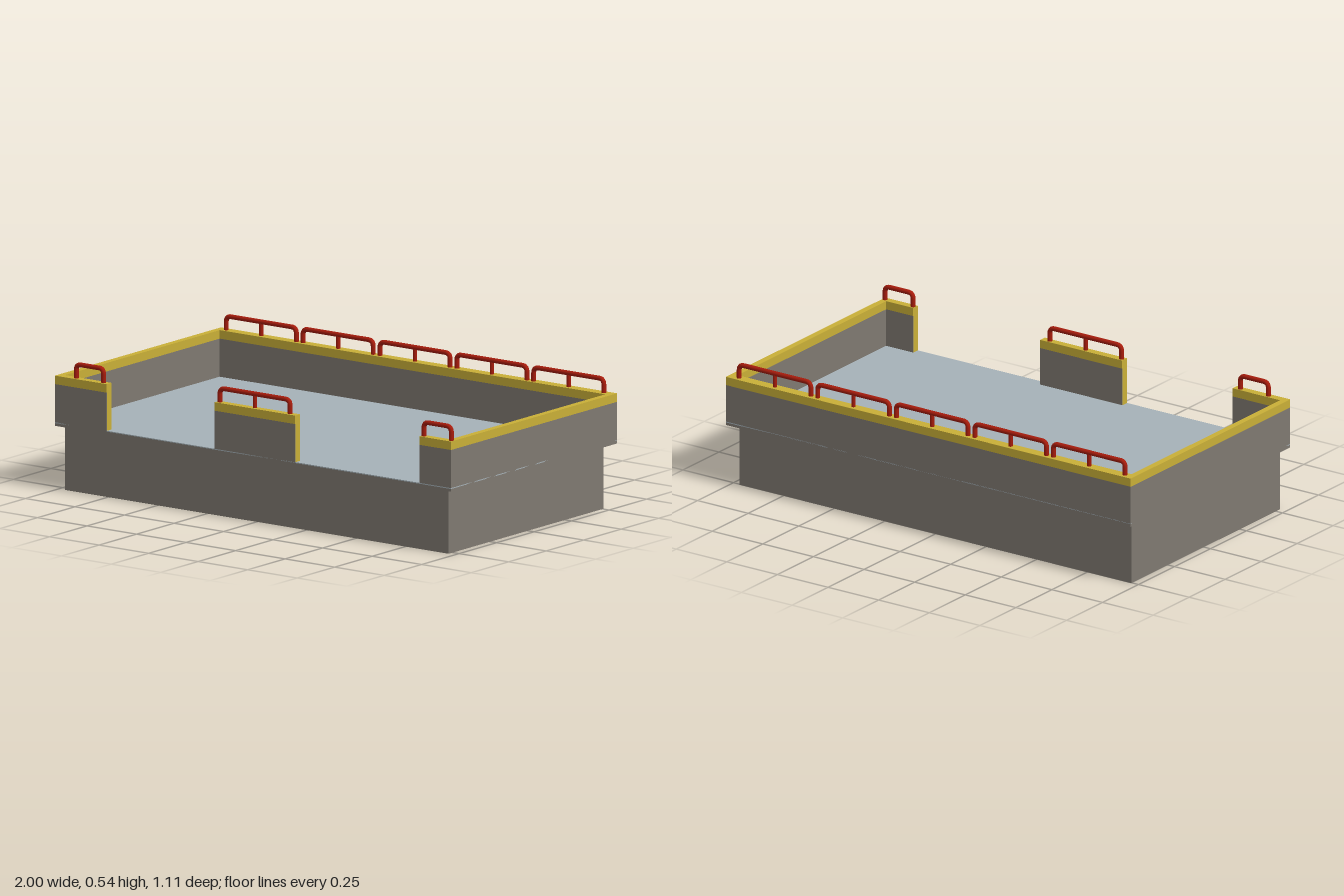
import * as THREE from 'three';

export function createModel() {
  const concrete = new THREE.MeshStandardMaterial({ color: 0x7f7971 });
  concrete.name = 'concrete';
  const yellow = new THREE.MeshStandardMaterial({ color: 0xc9af37 });
  yellow.name = 'safety yellow';
  const red = new THREE.MeshStandardMaterial({ color: 0xa81c0c });
  red.name = 'rail red';
  const deck = new THREE.MeshStandardMaterial({ color: 0xa6b2b8 });
  deck.name = 'deck grey';

  const model = new THREE.Group();
  model.name = 'loadingPlatform';

  // Box given by its minimum and maximum corners
  function box(name, material, x0, x1, y0, y1, z0, z1, parent = model) {
    const mesh = new THREE.Mesh(new THREE.BoxGeometry(x1 - x0, y1 - y0, z1 - z0), material);
    mesh.position.set((x0 + x1) / 2, (y0 + y1) / 2, (z0 + z1) / 2);
    mesh.name = name;
    parent.add(mesh);
    return mesh;
  }

  const FLOOR = 0.28, BAND = 0.437, TOP = 0.472;
  const BACK = -0.554, FRONT = 0.554, INBACK = -0.51, INFRONT = 0.522;

  // Base, overhanging slab and deck surface
  box('base', concrete, -0.968, 0.968, 0, 0.265, -0.505, 0.528);
  box('slab', concrete, -1, 1, 0.265, FLOOR - 0.004, BACK, FRONT);
  box('deck', deck, -1, 1, FLOOR - 0.004, FLOOR, BACK, FRONT);

  // Parapet wall with a yellow band along its top
  function wall(name, x0, x1, z0, z1) {
    const group = new THREE.Group();
    group.name = name;
    box('wallBody', concrete, x0, x1, FLOOR - 0.004, BAND, z0, z1, group);
    box('wallBand', yellow, x0, x1, BAND, TOP, z0, z1, group);
    model.add(group);
    return group;
  }
  // Painted end of a front wall, facing an opening
  function endPaint(group, x, side) {
    const plate = new THREE.Mesh(new THREE.PlaneGeometry(FRONT - INFRONT, TOP - FLOOR), yellow);
    plate.rotation.y = side * Math.PI / 2;
    plate.position.set(x + side * 0.001, (TOP + FLOOR) / 2, (FRONT + INFRONT) / 2);
    plate.name = 'endPaint';
    group.add(plate);
  }

  wall('backWall', -1, 1, BACK, INBACK);
  wall('rightWall', -1, -0.973, INBACK, INFRONT);
  wall('leftWall', 0.973, 1, INBACK, INFRONT);
  endPaint(wall('frontRightWall', -1, -0.738, INFRONT, FRONT), -0.738, 1);
  const middle = wall('frontMiddleWall', -0.193, 0.213, INFRONT, FRONT);
  endPaint(middle, -0.193, -1);
  endPaint(middle, 0.213, 1);
  endPaint(wall('frontLeftWall', 0.84, 1, INFRONT, FRONT), 0.84, -1);

  // Bent tube guard rail, with an optional middle post
  const R = 0.01, RAIL_Y = 0.529, FOOT_Y = 0.465, BEND = 0.024;
  function rail(name, x0, x1, z, post) {
    const a = x0 + R, b = x1 - R;
    const p = (x, y) => new THREE.Vector3(x, y, 0);
    const path = new THREE.CurvePath();
    path.add(new THREE.LineCurve3(p(a, FOOT_Y), p(a, RAIL_Y - BEND)));
    path.add(new THREE.QuadraticBezierCurve3(p(a, RAIL_Y - BEND), p(a, RAIL_Y), p(a + BEND, RAIL_Y)));
    path.add(new THREE.LineCurve3(p(a + BEND, RAIL_Y), p(b - BEND, RAIL_Y)));
    path.add(new THREE.QuadraticBezierCurve3(p(b - BEND, RAIL_Y), p(b, RAIL_Y), p(b, RAIL_Y - BEND)));
    path.add(new THREE.LineCurve3(p(b, RAIL_Y - BEND), p(b, FOOT_Y)));
    const group = new THREE.Group();
    group.name = name;
    const bar = new THREE.Mesh(new THREE.TubeGeometry(path, 80, R, 12), red);
    bar.name = 'railBar';
    group.add(bar);
    if (post) {
      const mesh = new THREE.Mesh(
        new THREE.CylinderGeometry(R * 0.85, R * 0.85, RAIL_Y - FOOT_Y, 12), red);
      mesh.position.set((a + b) / 2, (RAIL_Y + FOOT_Y) / 2, 0);
      mesh.name = 'railPost';
      group.add(mesh);
    }
    group.position.z = z;
    model.add(group);
  }

  // Five rails along the back, three on the front walls
  for (let i = -2; i <= 2; i++) {
    const c = -0.003 + i * 0.388;
    rail('backRail', c - 0.187, c + 0.187, -0.531, true);
  }
  rail('frontRightRail', -0.915, -0.757, 0.536, false);
  rail('frontMiddleRail', -0.19, 0.184, 0.536, true);
  rail('frontLeftRail', 0.84, 0.998, 0.536, false);

  return model;
}
